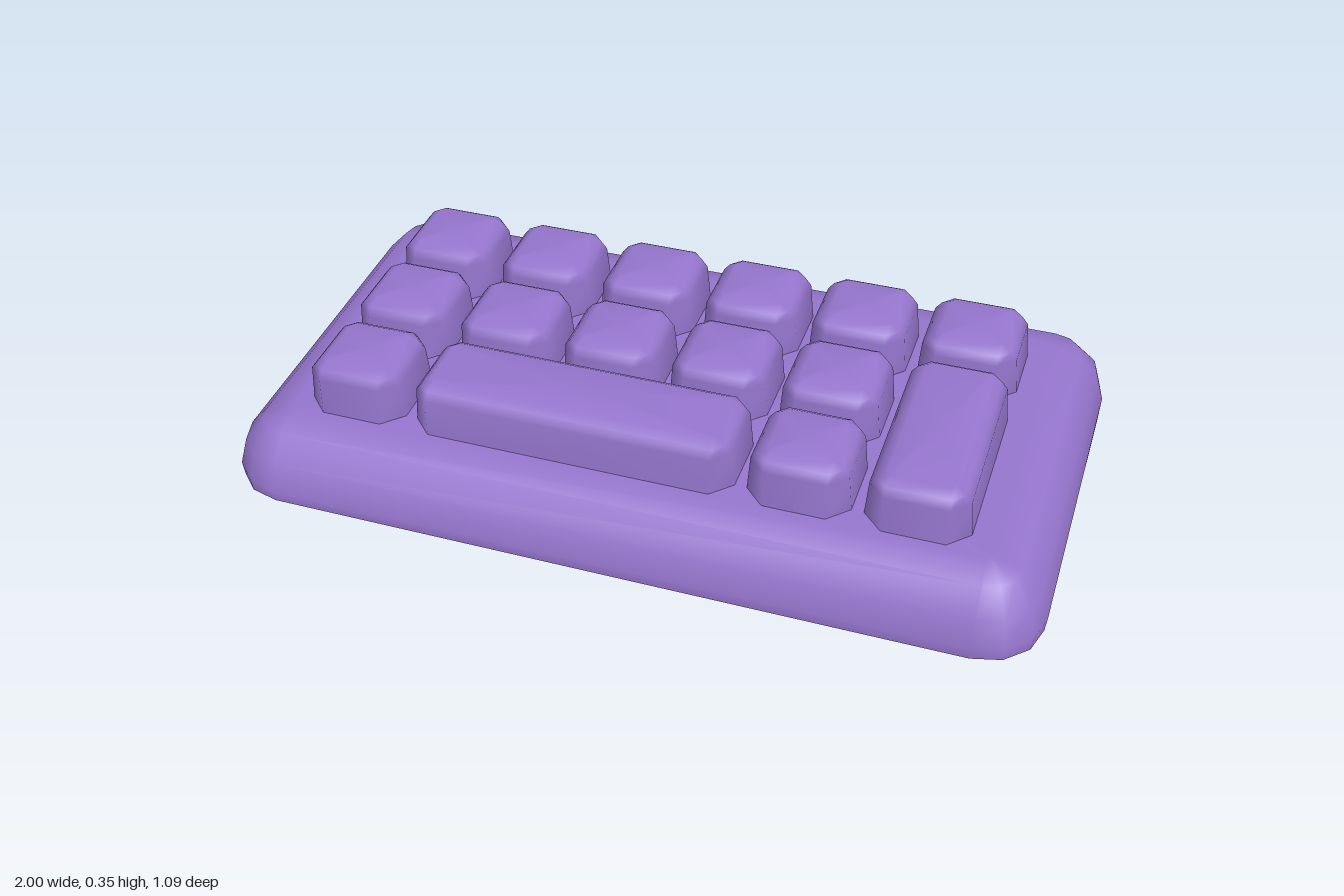
import * as THREE from 'three';

// Rounded rectangle, counter-clockwise seen from above
function outline(hx, hz, radius, segments) {
  const pts = [];
  const corners = [[1, -1], [-1, -1], [-1, 1], [1, 1]];
  corners.forEach(([sx, sz], q) => {
    for (let s = 0; s <= segments; s++) {
      const a = (q + s / segments) * Math.PI / 2;
      pts.push([
        sx * (hx - radius) + Math.cos(a) * radius,
        sz * (hz - radius) - Math.sin(a) * radius,
      ]);
    }
  });
  return pts;
}

// Stacks rounded rectangles; each layer is [inset, front height, back height]
function softSlab(hx, hz, radius, segments, layers) {
  const pos = [], index = [];
  let n = 0;
  const addRing = ([inset, yFront, yBack]) => {
    const ring = outline(hx - inset, hz - inset, Math.max(radius - inset, 0.012), segments);
    n = ring.length;
    for (const [x, z] of ring) {
      const t = (hz - z) / (2 * hz);
      pos.push(x, yFront + (yBack - yFront) * t, z);
    }
  };
  layers.forEach(addRing);

  // side bands
  for (let l = 0; l < layers.length - 1; l++) {
    for (let i = 0; i < n; i++) {
      const j = (i + 1) % n;
      const a = l * n + i, b = l * n + j;
      index.push(a, b, b + n, a, b + n, a + n);
    }
  }
  // top blends smoothly into the sides
  const top = layers[layers.length - 1];
  const topStart = (layers.length - 1) * n;
  const topCentre = pos.length / 3;
  pos.push(0, (top[1] + top[2]) / 2, 0);
  for (let i = 0; i < n; i++) index.push(topCentre, topStart + i, topStart + (i + 1) % n);

  // underside has its own ring for a crisp edge
  const start = pos.length / 3;
  addRing(layers[0]);
  const centre = pos.length / 3;
  pos.push(0, (layers[0][1] + layers[0][2]) / 2, 0);
  for (let i = 0; i < n; i++) index.push(centre, start + (i + 1) % n, start + i);

  const geo = new THREE.BufferGeometry();
  geo.setAttribute('position', new THREE.Float32BufferAttribute(pos, 3));
  geo.setIndex(index);
  geo.computeVertexNormals();
  return geo;
}

export function createModel() {
  const model = new THREE.Group();
  model.name = 'keyboard';
  const purple = new THREE.MeshStandardMaterial({ color: 0x9575cd });
  purple.name = 'purple';

  // Wedge-shaped body
  const body = new THREE.Mesh(softSlab(1, 0.545, 0.145, 3, [
    [0.004, 0, 0],
    [0, 0.03, 0.09],
    [0.02, 0.1, 0.155],
    [0.068, 0.155, 0.205],
    [0.138, 0.174, 0.222],
  ]), purple);
  body.name = 'body';
  model.add(body);

  // Keys sit square to the sloping top
  const keys = new THREE.Group();
  keys.name = 'keys';
  keys.position.y = 0.199;
  keys.rotation.x = 0.05;
  model.add(keys);

  const pitchX = 0.277, pitchZ = 0.267, half = 0.125;
  function addKey(name, col, row, cols = 1, rows = 1) {
    const hx = half + (cols - 1) * pitchX / 2;
    const hz = half + (rows - 1) * pitchZ / 2;
    const geo = softSlab(hx, hz, 0.05, 1, [
      [0, -0.01, -0.01],
      [0.009, 0.095, 0.095],
      [0.024, 0.114, 0.114],
      [0.047, 0.13, 0.13],
    ]);
    const key = new THREE.Mesh(geo, purple);
    key.name = name;
    key.position.set(
      -0.704 + (col + (cols - 1) / 2) * pitchX, 0,
      -0.264 + (row + (rows - 1) / 2) * pitchZ);
    keys.add(key);
  }

  for (let c = 0; c < 6; c++) addKey('backRowKey', c, 0);
  for (let c = 0; c < 5; c++) addKey('middleRowKey', c, 1);
  addKey('frontLeftKey', 0, 2);
  addKey('spaceBar', 1, 2, 3, 1);
  addKey('frontRightKey', 4, 2);
  addKey('tallKey', 5, 1, 1, 2);

  return model;
}
